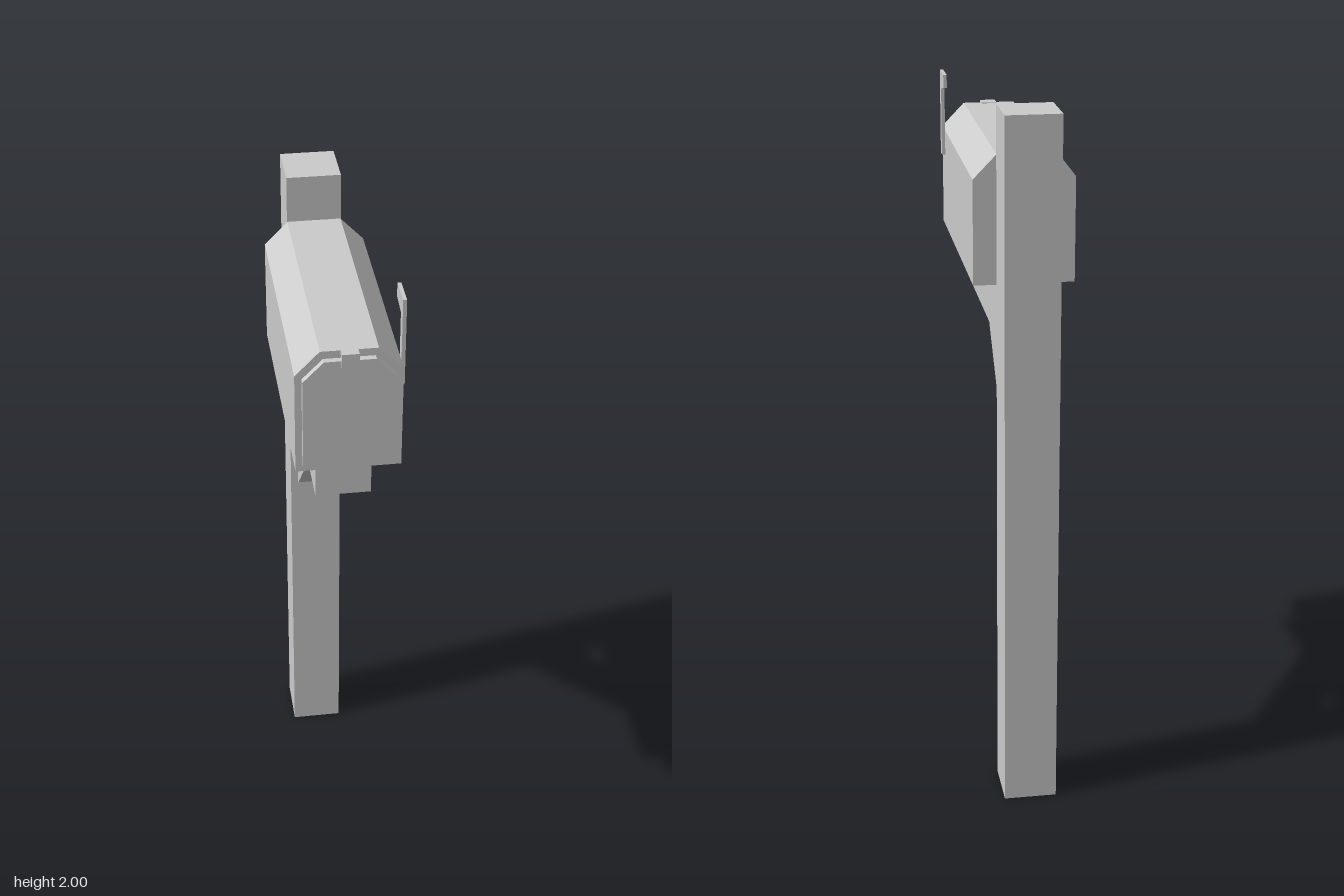
import * as THREE from 'three';

const mat = new THREE.MeshStandardMaterial({ color: 0xcccccc, flatShading: true });
const openMat = new THREE.MeshStandardMaterial({ color: 0xcccccc, flatShading: true, side: THREE.DoubleSide });

function extrude(points, depth) {
  const shape = new THREE.Shape(points.map(([a, b]) => new THREE.Vector2(a, b)));
  return new THREE.ExtrudeGeometry(shape, { depth, bevelEnabled: false });
}

// Outline in (x, y), pushed from z0 to z1
function alongZ(points, z0, z1) {
  return extrude(points, z1 - z0).translate(0, 0, z0);
}

// Outline in (z, y), pushed from x0 to x1
function alongX(points, x0, x1) {
  return extrude(points, x1 - x0).rotateY(-Math.PI / 2).translate(x1, 0, 0);
}

function box(x0, x1, y0, y1, z0, z1) {
  return new THREE.BoxGeometry(x1 - x0, y1 - y0, z1 - z0)
    .translate((x0 + x1) / 2, (y0 + y1) / 2, (z0 + z1) / 2);
}

// Rectangle with its two upper corners cut off
function chamfered(x0, x1, y0, y1, cutX, cutY) {
  return [[x0, y0], [x1, y0], [x1, y1 - cutY], [x1 - cutX, y1], [x0 + cutX, y1], [x0, y1 - cutY]];
}

export function createModel() {
  const model = new THREE.Group();
  model.name = 'mailbox';
  const add = (name, geometry, material = mat) => {
    const mesh = new THREE.Mesh(geometry, material);
    mesh.name = name;
    model.add(mesh);
  };

  // Hollow post, open at the foot (the box's bottom face is dropped)
  const post = box(-0.081, 0.069, 0, 2, -0.432, -0.282);
  const index = Array.from(post.index.array);
  index.splice(18, 6);
  post.setIndex(index);
  post.clearGroups();
  add('post', post, openMat);

  // Support arm and diagonal brace
  add('arm', box(-0.081, 0.069, 1.363, 1.513, -0.282, 0.312));
  add('brace', alongX([[0.105, 1.363], [-0.035, 1.363], [-0.282, 1.12], [-0.282, 0.98]], -0.059, 0.044));

  // Box body with its door
  add('boxBody', alongZ(chamfered(-0.144, 0.132, 1.513, 1.868, 0.064, 0.066), -0.282, 0.404));
  add('door', alongZ(chamfered(-0.126, 0.114, 1.535, 1.847, 0.054, 0.055), 0.404, 0.421));

  // Latch hooked over the top edge of the door
  add('latch', alongX([
    [0.387, 1.856], [0.421, 1.856], [0.421, 1.83], [0.43, 1.83], [0.43, 1.87], [0.387, 1.87],
  ], -0.028, 0.016));

  // Signal flag on the left side
  add('flag', alongX([
    [0.365, 1.73], [0.365, 1.975], [0.278, 1.975], [0.278, 1.937], [0.338, 1.925], [0.338, 1.73],
  ], 0.132, 0.142));

  return model;
}
